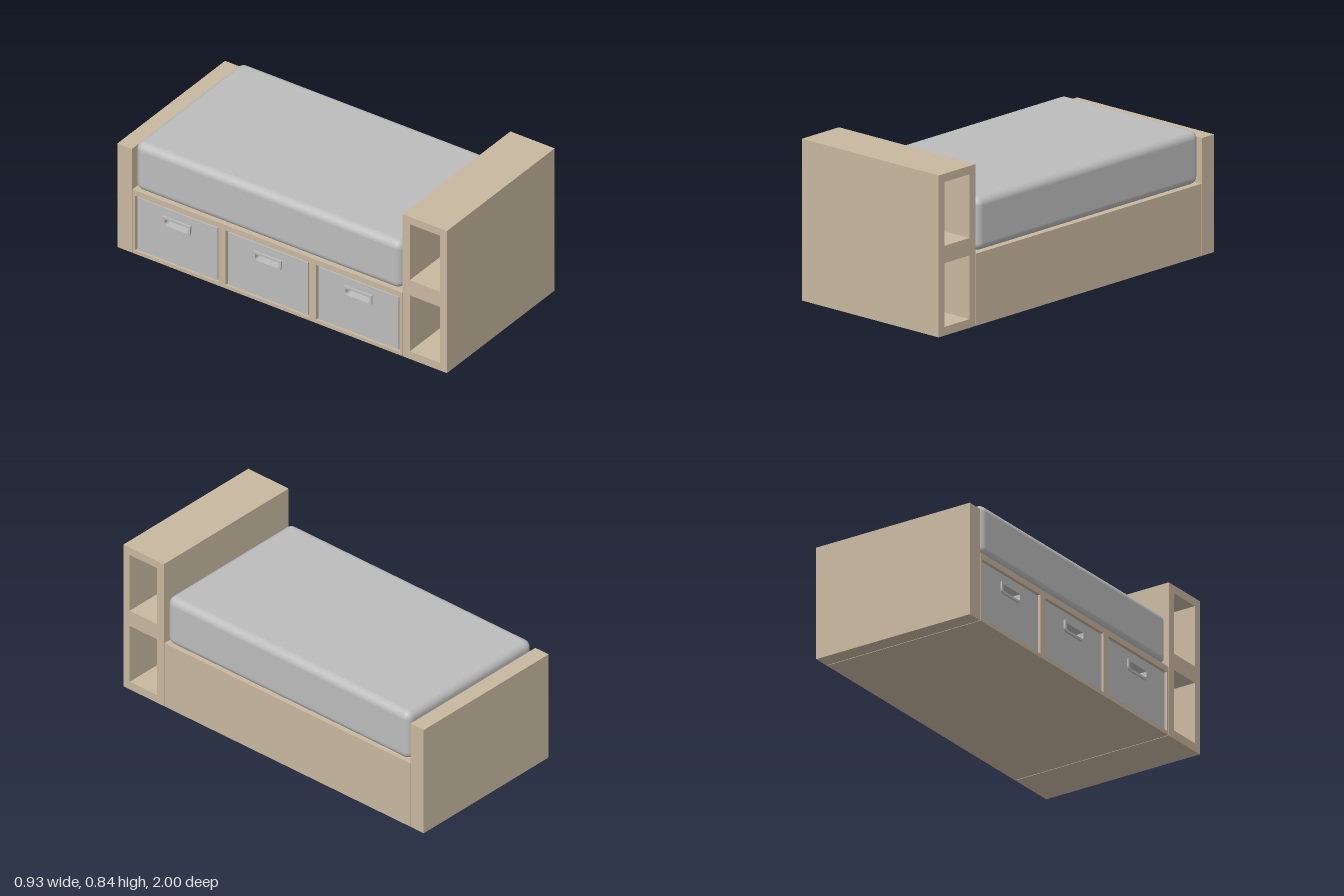
import * as THREE from 'three';
import { RoundedBoxGeometry } from 'three/addons/geometries/RoundedBoxGeometry.js';

const HALF = 0.463; // half the bed's width

// Rectangle outline in the side plane (u = -z, v = y)
function rect(Type, z0, z1, y0, y1) {
  const p = new Type();
  p.moveTo(-z1, y0);
  p.lineTo(-z0, y0);
  p.lineTo(-z0, y1);
  p.lineTo(-z1, y1);
  p.closePath();
  return p;
}

// Slot with square top corners and rounded bottom corners
function slot(Type, z0, z1, y0, y1, r) {
  const p = new Type();
  p.moveTo(-z1, y1);
  p.lineTo(-z1, y0 + r);
  p.quadraticCurveTo(-z1, y0, -z1 + r, y0);
  p.lineTo(-z0 - r, y0);
  p.quadraticCurveTo(-z0, y0, -z0, y0 + r);
  p.lineTo(-z0, y1);
  p.closePath();
  return p;
}

// Side-plane shape with holes, extruded along x from x0 to x1
function panel(name, shape, holes, x0, x1, material) {
  shape.holes.push(...holes);
  const g = new THREE.ExtrudeGeometry(shape, { depth: x1 - x0, bevelEnabled: false, curveSegments: 6 });
  g.rotateY(Math.PI / 2);
  g.translate(x0, 0, 0);
  const mesh = new THREE.Mesh(g, material);
  mesh.name = name;
  return mesh;
}

function box(name, x0, x1, y0, y1, z0, z1, material) {
  const mesh = new THREE.Mesh(new THREE.BoxGeometry(x1 - x0, y1 - y0, z1 - z0), material);
  mesh.position.set((x0 + x1) / 2, (y0 + y1) / 2, (z0 + z1) / 2);
  mesh.name = name;
  return mesh;
}

export function createModel() {
  const bed = new THREE.Group();
  bed.name = 'storageBed';
  const wood = new THREE.MeshStandardMaterial({ name: 'paleWood', color: 0xc8b89f });
  const grey = new THREE.MeshStandardMaterial({ name: 'softGrey', color: 0xbcbcbc });

  // Headboard: a bookcase with two niches open at both ends
  const niches = [[0.045, 0.375], [0.465, 0.795]].map(([y0, y1]) => rect(THREE.Path, 0.775, 0.958, y0, y1));
  bed.add(panel('headboard', rect(THREE.Shape, 0.731, 1, 0, 0.838), niches, -HALF, HALF, wood));
  bed.add(box('nicheDivider', -0.01, 0.01, 0.02, 0.82, 0.76, 0.97, wood));

  // Footboard
  bed.add(box('footboard', -HALF, HALF, 0, 0.61, -1, -0.912, wood));

  // Base: solid body with a drawer frame on its right side
  const bays = [-0.64, -0.09, 0.46].map((z) => ({ z, z0: z - 0.253, z1: z + 0.253, y0: 0.02, y1: 0.342 }));
  bed.add(box('baseBody', -0.36, HALF, 0, 0.374, -0.908, 0.727, wood));
  bed.add(panel('drawerFrame', rect(THREE.Shape, -0.908, 0.727, 0, 0.374),
    bays.map((b) => rect(THREE.Path, b.z0, b.z1, b.y0, b.y1)), -HALF, -0.36, wood));

  // Drawers: front with a finger slot, closed pocket behind, thin raised rim
  bays.forEach(({ z, z0, z1, y0, y1 }) => {
    const drawer = new THREE.Group();
    drawer.name = 'drawer';
    const gap = 0.01;
    const hole = () => slot(THREE.Path, z - 0.072, z + 0.072, 0.238, 0.273, 0.016);
    drawer.add(panel('drawerFront', rect(THREE.Shape, z0 + gap, z1 - gap, y0 + gap / 2, y1 - gap),
      [hole()], -0.457, -0.385, grey));
    drawer.add(box('drawerBack', -0.385, -0.365, y0 + gap / 2, y1 - gap, z0 + gap, z1 - gap, grey));
    drawer.add(panel('handleRim', slot(THREE.Shape, z - 0.085, z + 0.085, 0.225, 0.286, 0.025),
      [hole()], -0.467, -0.457, grey));
    bed.add(drawer);
  });

  // Mattress with softly rounded edges
  const mattress = new THREE.Mesh(new RoundedBoxGeometry(0.924, 0.278, 1.615, 5, 0.042), grey);
  mattress.name = 'mattress';
  mattress.position.set(0, 0.514, -0.091);
  bed.add(mattress);

  return bed;
}
